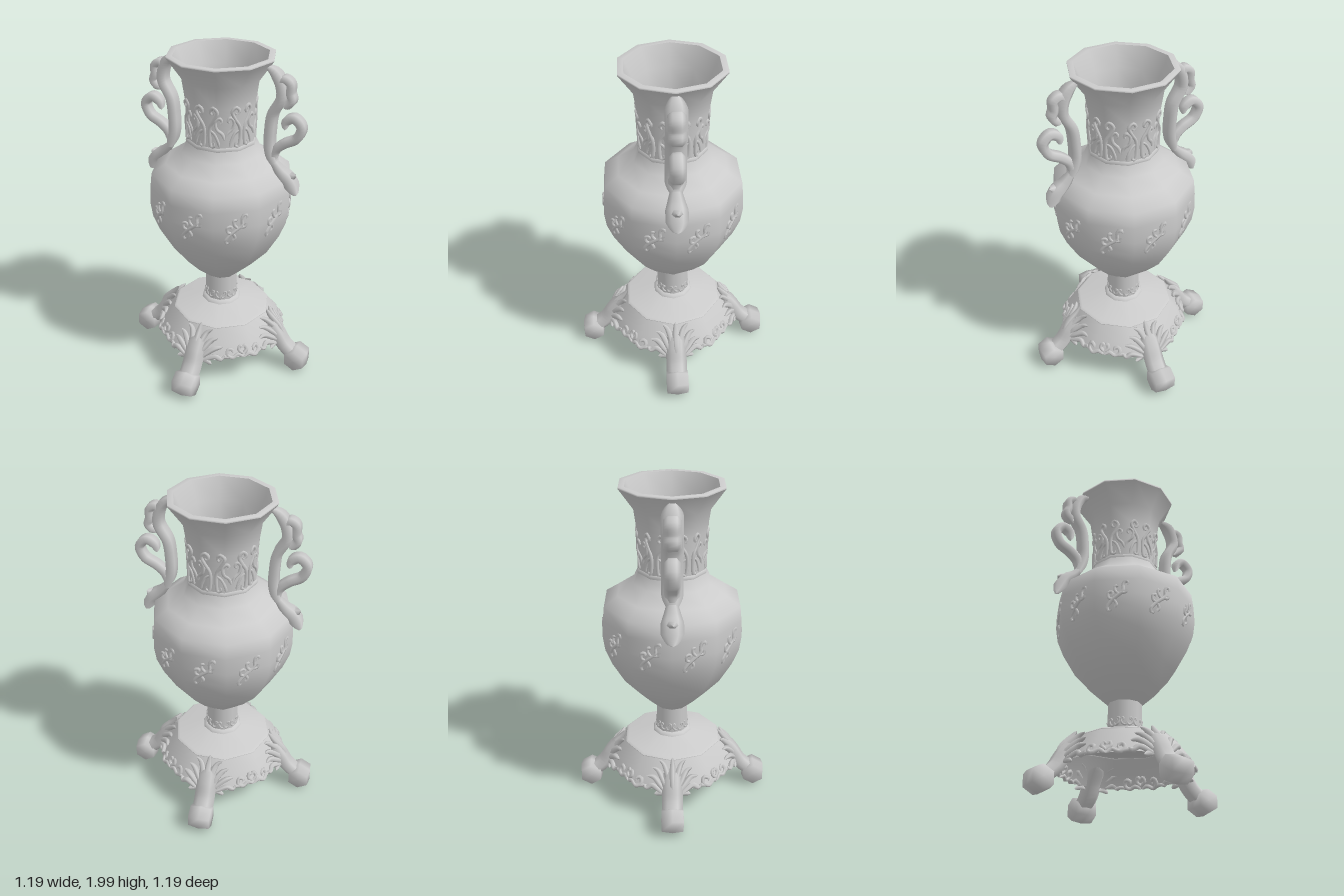
import * as THREE from 'three';
import { mergeGeometries } from 'three/addons/utils/BufferGeometryUtils.js';

const SIDES = 10;
const mat = new THREE.MeshStandardMaterial({ color: 0xcccccc, side: THREE.DoubleSide });

// Radius profiles as [radius, height], bottom to top
const NECK = [[0.2, 1.5], [0.2, 1.6], [0.207, 1.74], [0.226, 1.87], [0.31, 1.99]];
const BELLY = [[0.1, 0.6], [0.2, 0.69], [0.3, 0.8], [0.375, 0.93], [0.415, 1.03], [0.428, 1.12], [0.424, 1.22], [0.414, 1.31], [0.33, 1.365], [0.235, 1.43], [0.205, 1.495]];
const STEM = [[0.1, 0.43], [0.1, 0.6]];
const SKIRT = [[0.405, 0.2], [0.365, 0.28], [0.305, 0.36]];

function mesh(name, geometry) {
  const m = new THREE.Mesh(geometry, mat);
  m.name = name;
  return m;
}

// Ten-sided turned part with a corner on the x axis
function turned(name, profile) {
  const pts = profile.map(([r, y]) => new THREE.Vector2(r, y));
  return mesh(name, new THREE.LatheGeometry(pts, SIDES, Math.PI / 2));
}

// Tube through points, narrowed by taper(t) and widened along z
const rounded = t => Math.min(1, 1.6 * Math.sqrt(Math.max(0, Math.sin(Math.PI * t))));
const leafy = t => Math.max(0, Math.min(1, 0.4 + 1.2 * t) * Math.min(1, Math.sqrt(Math.max(0, 1 - t)) * 2));
function sweep(pts, r, { n = 24, sides = 6, taper = rounded, zScale = 1 } = {}) {
  const curve = new THREE.CatmullRomCurve3(pts);
  const g = new THREE.TubeGeometry(curve, n, r, sides);
  const p = g.attributes.position, v = new THREE.Vector3();
  for (let i = 0; i < p.count; i++) {
    const t = Math.floor(i / (sides + 1)) / n, c = curve.getPointAt(t);
    v.fromBufferAttribute(p, i).sub(c).multiplyScalar(taper(t));
    v.z *= zScale;
    v.add(c);
    p.setXYZ(i, v.x, v.y, v.z);
  }
  return g;
}
const flat = list => list.map(([x, y]) => new THREE.Vector3(x, y, 0));

// Radius of a profile at height y
function radiusAt(profile, y) {
  let i = 0;
  while (i < profile.length - 2 && y > profile[i + 1][1]) i++;
  const [r0, y0] = profile[i], [r1, y1] = profile[i + 1];
  return r0 + (r1 - r0) * (y - y0) / (y1 - y0);
}

// Lay [across, height, lift] points on the faceted wall around an angle
function wrap(profile, angle, list, side = 1) {
  const facet = 2 * Math.PI / SIDES;
  return list.map(([u, y, lift = 0]) => {
    const R = radiusAt(profile, y), a = angle + side * u / R;
    const d = a - Math.round(a / facet) * facet;
    const r = R * Math.cos(facet / 2) / Math.cos(d) + lift;
    return new THREE.Vector3(r * Math.sin(a), y, r * Math.cos(a));
  });
}

// Repeat relief strands around a wall, optionally mirrored
function relief(name, profile, count, offset, strands, { mirror = true, ...opt } = {}) {
  const parts = [];
  for (let k = 0; k < count; k++) {
    for (const [r, pts] of strands) {
      for (const s of mirror ? [1, -1] : [1]) {
        parts.push(sweep(wrap(profile, offset + k * 2 * Math.PI / count, pts, s), r, { n: 18, sides: 5, ...opt }));
      }
    }
  }
  return mesh(name, mergeGeometries(parts));
}

function createHandle() {
  const h = new THREE.Group();
  h.name = 'handle';
  h.add(
    mesh('handleStem', sweep(flat([[0.265, 1.965], [0.32, 1.935], [0.355, 1.88], [0.365, 1.8], [0.315, 1.7], [0.302, 1.6], [0.302, 1.5], [0.34, 1.37]]), 0.032, { n: 36, zScale: 1.9 })),
    mesh('handleHook', sweep(flat([[0.34, 1.87], [0.375, 1.905], [0.412, 1.885], [0.415, 1.83], [0.425, 1.79], [0.375, 1.74]]), 0.026, { zScale: 1.9 })),
    mesh('handleScroll', sweep(flat([[0.385, 1.61], [0.395, 1.665], [0.44, 1.69], [0.485, 1.645], [0.46, 1.575], [0.385, 1.53], [0.335, 1.48], [0.325, 1.4]]), 0.03, { n: 36, zScale: 1.5 })),
    mesh('handleLeaf', sweep(flat([[0.31, 1.43], [0.37, 1.36], [0.425, 1.31], [0.47, 1.22]]), 0.04, { taper: leafy, zScale: 1.6 })),
    mesh('handleLeafTip', sweep(flat([[0.37, 1.37], [0.42, 1.335], [0.465, 1.342]]), 0.024, { n: 10, taper: leafy, zScale: 1.6 })),
  );
  return h;
}

function createLeg() {
  const leg = new THREE.Group();
  leg.name = 'leg';
  leg.add(mesh('legStrut', sweep(flat([[0.33, 0.32], [0.39, 0.24], [0.44, 0.16], [0.52, 0.09]]), 0.046, { n: 12, zScale: 1.4 })));
  // Six-sided foot, thicker along its middle
  const foot = [[0, -0.068], [0.07, -0.066], [0.08, 0], [0.07, 0.066], [0, 0.068]];
  const g = new THREE.LatheGeometry(foot.map(([r, y]) => new THREE.Vector2(r, y)), 6);
  g.rotateX(Math.PI / 2);
  g.translate(0.527, 0.086, 0);
  leg.add(mesh('foot', g));
  return leg;
}

export function createModel() {
  const model = new THREE.Group();
  model.name = 'vase';

  // Turned body
  model.add(
    turned('neck', NECK),
    turned('lip', [[0.31, 1.99], [0.31, 2], [0.275, 2]]),
    turned('neckInside', [[0.275, 2], [0.222, 1.88], [0.198, 1.74], [0.19, 1.5]]),
    turned('neckRing', [[0.2, 1.515], [0.209, 1.505], [0.205, 1.49]]),
    turned('belly', BELLY),
    turned('stem', STEM),
    turned('stemFoot', [[0.122, 0.415], [0.115, 0.43], [0.1, 0.435]]),
    turned('baseTop', [[0.305, 0.365], [0.29, 0.375], [0.122, 0.415]]),
    turned('baseSkirt', [...SKIRT, [0.305, 0.365]]),
  );

  // Lyre scrolls on the neck
  model.add(relief('neckScrolls', NECK, 6, Math.PI / 6, [
    [0.011, [[0.06, 1.725], [0.07, 1.71], [0.084, 1.73], [0.066, 1.755], [0.042, 1.73], [0.06, 1.685], [0.085, 1.64], [0.088, 1.57], [0.078, 1.52], [0.058, 1.53], [0.064, 1.55]]],
    [0.01, [[0.028, 1.66], [0.018, 1.675], [0.03, 1.695], [0.052, 1.675], [0.045, 1.63], [0.016, 1.6], [0, 1.56]]],
    [0.009, [[0.088, 1.62], [0.06, 1.6], [0.04, 1.56], [0.03, 1.52]]],
  ], { n: 30 }));

  // Slanted sprigs on the belly
  model.add(relief('bellySprigs', BELLY, 10, 0, [
    [0.011, [[-0.03, 1.035], [-0.05, 1.02], [-0.062, 1.04], [-0.04, 1.075], [0, 1.11], [0.035, 1.14], [0.035, 1.18], [0.05, 1.205], [0.07, 1.19], [0.058, 1.175]]],
    [0.01, [[-0.025, 1.09], [-0.05, 1.1], [-0.052, 1.13], [-0.03, 1.135], [-0.028, 1.118]]],
    [0.01, [[0.01, 1.12], [-0.012, 1.145], [-0.012, 1.17], [0.008, 1.172]]],
    [0.01, [[0.02, 1.13], [0.05, 1.13], [0.062, 1.15]]],
    [0.01, [[-0.02, 1.09], [-0.005, 1.06], [-0.018, 1.04]]],
  ], { mirror: false }));

  // Curled band on the stem
  model.add(relief('stemBand', STEM, 8, 0, [
    [0.007, [[0.012, 0.475], [0.02, 0.485], [0.012, 0.495], [0.003, 0.48], [0.015, 0.455], [0.032, 0.45], [0.039, 0.47]]],
  ]));

  // Leaf fans above the legs
  model.add(relief('leafFanCentre', SKIRT, 4, 0, [
    [0.02, [[0, 0.17, 0.02], [0, 0.27, 0.04], [0, 0.35, 0.025], [0, 0.39, 0.025]]],
  ], { mirror: false, taper: leafy }));
  model.add(relief('leafFan', SKIRT, 4, 0, [
    [0.018, [[0.008, 0.18, 0.02], [0.02, 0.27, 0.03], [0.05, 0.345, 0.02], [0.08, 0.365, 0.02]]],
    [0.018, [[0.015, 0.18, 0.02], [0.05, 0.26, 0.025], [0.09, 0.31, 0.015], [0.125, 0.32, 0.015]]],
    [0.018, [[0.02, 0.18, 0.02], [0.07, 0.235, 0.02], [0.12, 0.27, 0.01], [0.165, 0.27, 0.01]]],
    [0.017, [[0.03, 0.175, 0.015], [0.08, 0.205, 0.015], [0.13, 0.225, 0.01], [0.17, 0.205, 0.01], [0.185, 0.225, 0.01]]],
    [0.015, [[0.04, 0.185, 0.01], [0.08, 0.19, 0.01], [0.115, 0.18, 0.01]]],
  ], { taper: leafy }));

  // Scrolled edge between the legs
  model.add(relief('edgeScrolls', SKIRT, 4, Math.PI / 4, [
    [0.013, [[0, 0.195], [0.035, 0.215], [0.075, 0.2], [0.105, 0.22], [0.09, 0.25], [0.065, 0.24], [0.07, 0.222]]],
    [0.012, [[0, 0.215], [0.025, 0.24], [0.015, 0.262], [0, 0.25]]],
    [0.012, [[0.09, 0.205], [0.13, 0.21], [0.17, 0.2]]],
  ]));

  for (let k = 0; k < 2; k++) {
    const h = createHandle();
    h.rotation.y = k * Math.PI;
    model.add(h);
  }
  for (let k = 0; k < 4; k++) {
    const leg = createLeg();
    leg.rotation.y = k * Math.PI / 2;
    model.add(leg);
  }
  return model;
}
